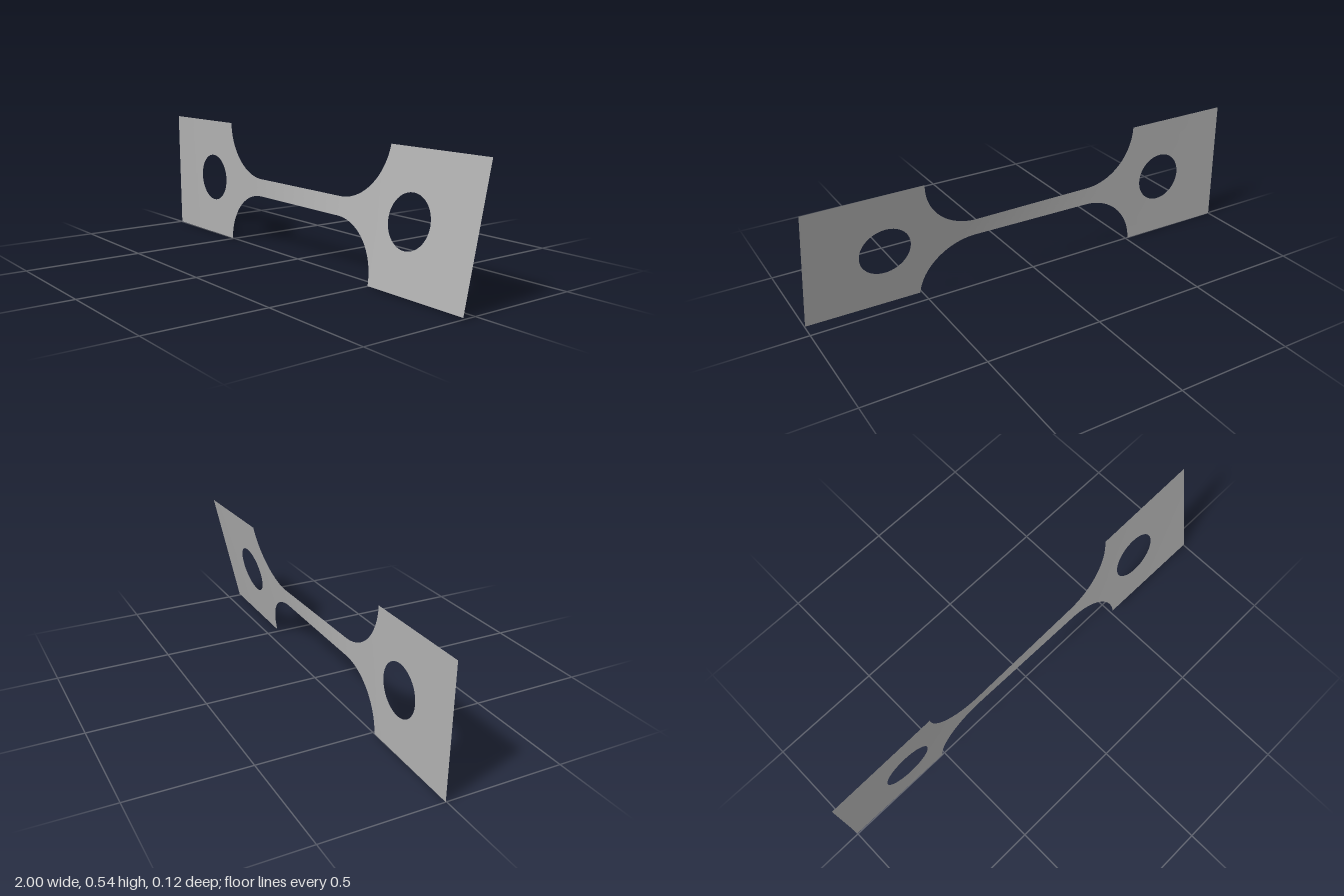
import * as THREE from 'three';

const H = 0.272;       // half height of the end tabs, also the height of the twist axis
const NECK = 0.039;    // half height of the neck
const FILLET = 0.24, FILLET_X = 0.272;
const HOLE = 0.108, HOLE_X = 0.67;
const EDGE = FILLET_X + Math.sqrt(FILLET ** 2 - (NECK + FILLET - H) ** 2); // tab shoulder

// Half height of the outline and of the hole at a given x
function outline(x) {
  const d = Math.abs(x) - FILLET_X;
  if (d <= 0) return NECK;
  if (Math.abs(x) >= EDGE) return H;
  return NECK + FILLET - Math.sqrt(FILLET ** 2 - d * d);
}
function hole(x) {
  const d = Math.abs(x) - HOLE_X;
  return Math.sqrt(Math.max(0, HOLE ** 2 - d * d));
}

// Twist in degrees: almost all of it happens along the neck
const twistStops = [[-1, -0.7], [-0.5, 0], [-0.3, 0.6], [0.3, 10.8], [0.5, 11.6], [1, 12.6]];
function twist(x) {
  let i = 0;
  while (i < twistStops.length - 2 && x > twistStops[i + 1][0]) i++;
  const [x0, a0] = twistStops[i], [x1, a1] = twistStops[i + 1];
  return THREE.MathUtils.degToRad(a0 + (a1 - a0) * (x - x0) / (x1 - x0));
}

// Column positions from the middle outwards, denser where curves get steep
function columns() {
  const half = [];
  for (let i = 1; i <= 10; i++) half.push(FILLET_X * i / 10);
  const end = Math.asin((EDGE - FILLET_X) / FILLET);
  for (let i = 1; i <= 24; i++) half.push(FILLET_X + FILLET * Math.sin(end * i / 24));
  for (let i = 0; i <= 40; i++) half.push(HOLE_X - HOLE * Math.cos(Math.PI * i / 40));
  for (let i = 1; i <= 6; i++) half.push(HOLE_X + HOLE + (1 - HOLE_X - HOLE) * i / 6);
  return [...half.map(x => -x).reverse(), 0, ...half];
}

// Half of the sheet above (side 1) or below (side -1) the axis
function halfSheet(side, xs) {
  const rows = 6;
  const geo = new THREE.PlaneGeometry(1, 1, xs.length - 1, rows);
  const pos = geo.attributes.position;
  for (let i = 0; i < pos.count; i++) {
    const x = xs[i % xs.length];
    const row = Math.floor(i / xs.length) / rows;
    const t = side > 0 ? 1 - row : row;
    const y = side * THREE.MathUtils.lerp(hole(x), outline(x), t);
    const a = twist(x);
    pos.setXYZ(i, x, H + y * Math.cos(a), -y * Math.sin(a));
  }
  geo.computeVertexNormals();
  return geo;
}

export function createModel() {
  const group = new THREE.Group();
  group.name = 'twistedTestStrip';
  const steel = new THREE.MeshStandardMaterial({ color: 0xb0b0b0, side: THREE.DoubleSide });
  steel.name = 'grey steel';
  const xs = columns();
  for (const [name, side] of [['upperSheet', 1], ['lowerSheet', -1]]) {
    const mesh = new THREE.Mesh(halfSheet(side, xs), steel);
    mesh.name = name;
    group.add(mesh);
  }
  return group;
}
